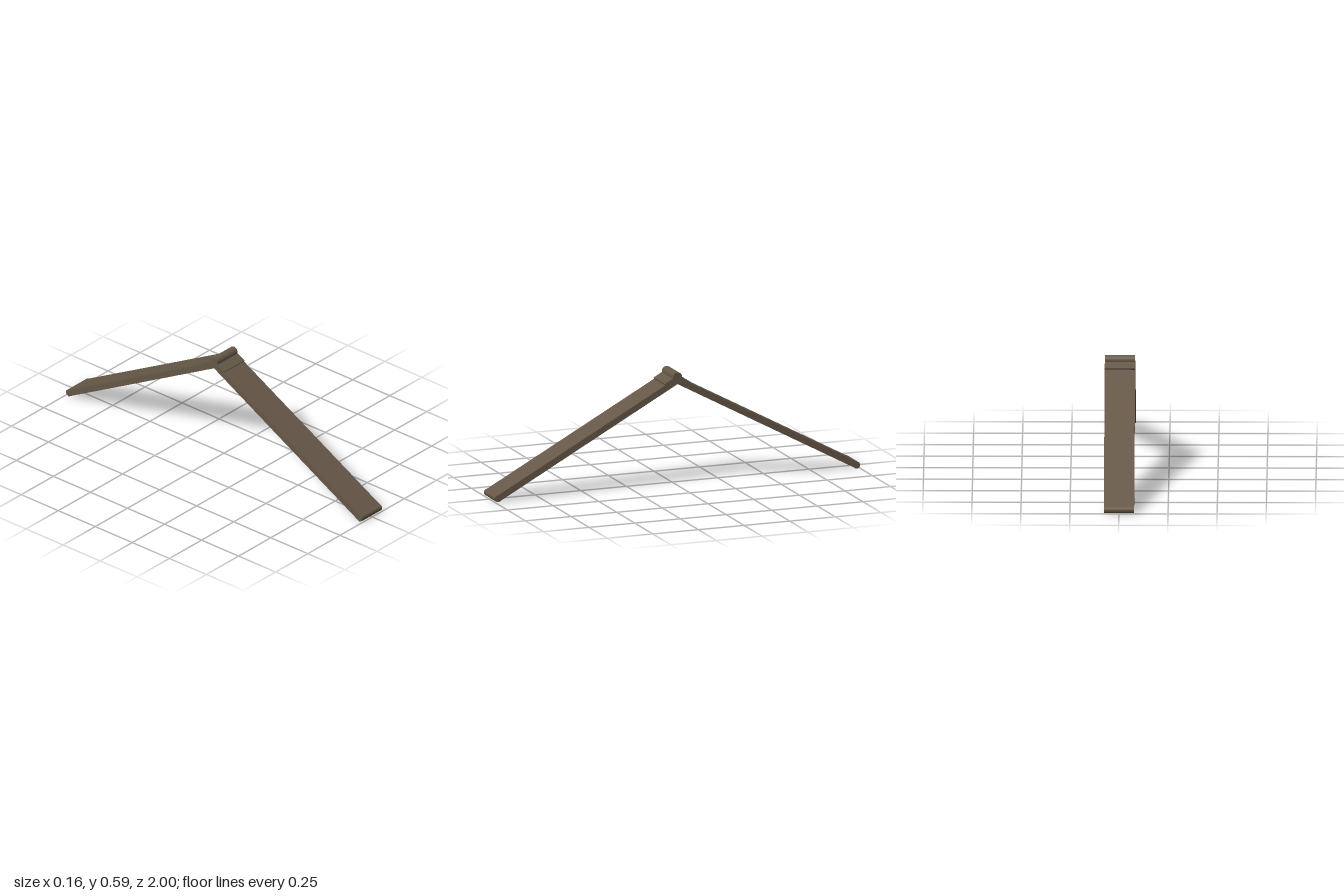
import * as THREE from 'three';

const WIDTH = 0.155;
const material = new THREE.MeshStandardMaterial({ color: 0x665848 });

// Extrudes a [z, y] side profile across the width
function sideProfile(name, points) {
  const shape = new THREE.Shape(points.map(([z, y]) => new THREE.Vector2(z, y)));
  const geometry = new THREE.ExtrudeGeometry(shape, { depth: WIDTH, bevelEnabled: false });
  geometry.translate(0, 0, -WIDTH / 2).rotateY(-Math.PI / 2);
  const mesh = new THREE.Mesh(geometry, material);
  mesh.name = name;
  return mesh;
}

// Round bar lying along x
function bar(name, radius, y, z) {
  const geometry = new THREE.CylinderGeometry(radius, radius, WIDTH, 32).rotateZ(Math.PI / 2);
  const mesh = new THREE.Mesh(geometry, material);
  mesh.name = name;
  mesh.position.set(0, y, z);
  return mesh;
}

// One sloping half: panel, hinge leaf on top of it and rounded foot
function createHalf(name) {
  const half = new THREE.Group();
  half.name = name;
  half.add(
    sideProfile('panel', [[0, 0.531], [0.974, 0.003], [0.99, 0.032], [0, 0.567]]),
    sideProfile('hingeLeaf', [[0, 0.562], [0.065, 0.527], [0.071, 0.537], [0, 0.575]]),
    bar('foot', 0.018, 0.018, 0.982)
  );
  return half;
}

export function createModel() {
  const model = new THREE.Group();
  model.name = 'foldingPanel';
  const front = createHalf('frontHalf');
  const back = createHalf('backHalf');
  back.rotation.y = Math.PI;
  model.add(front, back, bar('hingePin', 0.025, 0.567, 0));
  return model;
}
